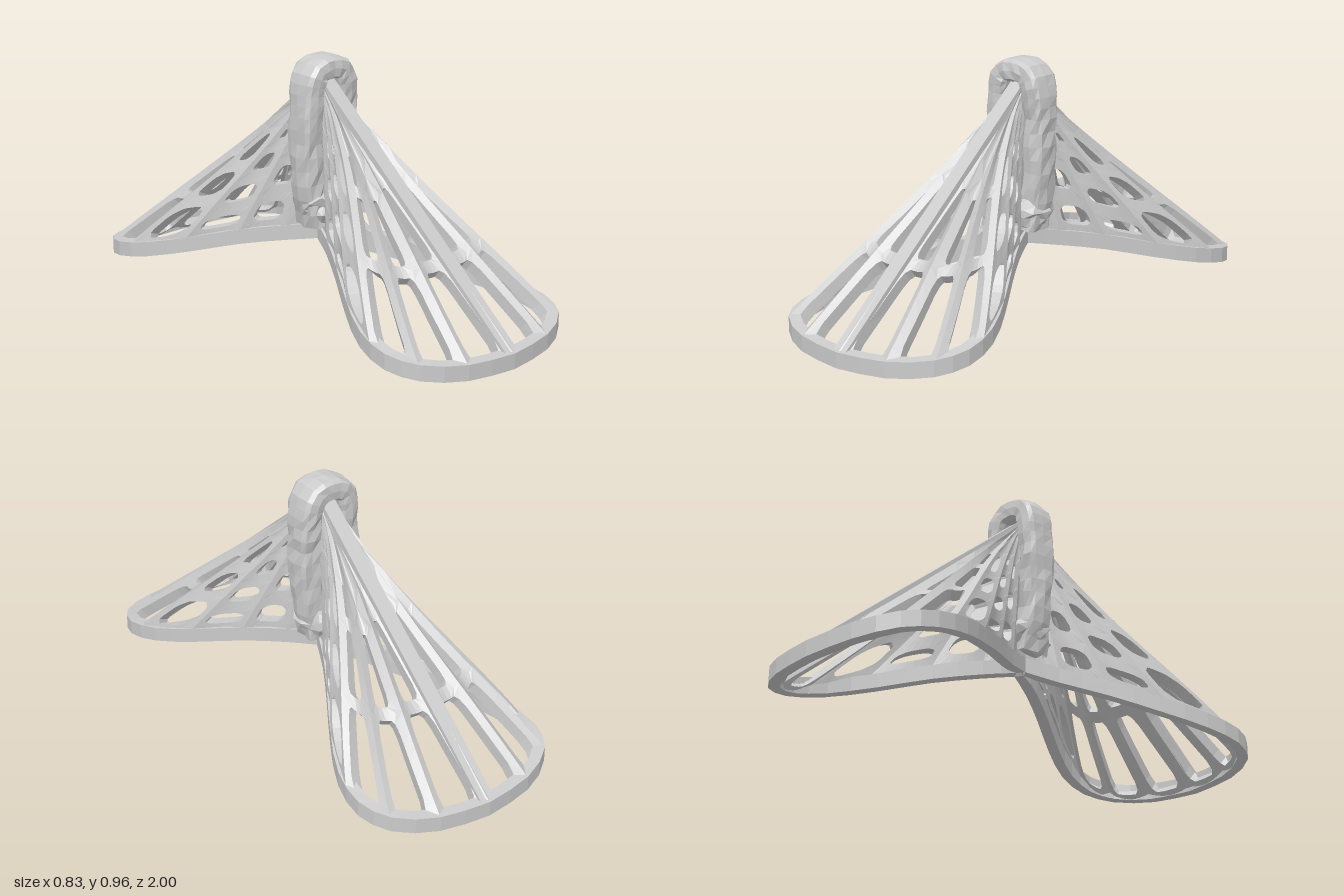
import * as THREE from 'three';

const V = (x, y, z) => new THREE.Vector3(x, y, z);
const material = new THREE.MeshStandardMaterial({ color: 0xcccccc, flatShading: true, side: THREE.DoubleSide });

let seed = 7;
const rand = () => ((seed = (seed * 16807) % 2147483647) / 2147483647) - 0.5;

// Collects quads, mirrored into the quarter given by sx and sz
class Builder {
  constructor(sx = 1, sz = 1) { this.sx = sx; this.sz = sz; this.pos = []; }
  quad(a, b, c, d) {
    const tris = this.sx * this.sz > 0 ? [a, b, c, a, c, d] : [a, c, b, a, d, c];
    for (const p of tris) this.pos.push(p.x * this.sx, p.y, p.z * this.sz);
  }
  // Skin between rings that run counter-clockwise about the path
  loft(rings) {
    for (let j = 0; j < rings.length - 1; j++) {
      const a = rings[j], b = rings[j + 1], n = a.length;
      for (let k = 0; k < n; k++) this.quad(a[k], a[(k + 1) % n], b[(k + 1) % n], b[k]);
    }
  }
  mesh(name) {
    const g = new THREE.BufferGeometry();
    g.setAttribute('position', new THREE.Float32BufferAttribute(this.pos, 3));
    g.computeVertexNormals();
    const m = new THREE.Mesh(g, material);
    m.name = name;
    return m;
  }
}

// Edge of one quarter, from the pinched middle out to the tip
const rim = new THREE.CatmullRomCurve3([
  V(0.03, 0.26, 0), V(0.09, 0.235, 0.12), V(0.19, 0.2, 0.28), V(0.3, 0.15, 0.45), V(0.39, 0.105, 0.62),
  V(0.415, 0.075, 0.77), V(0.36, 0.055, 0.89), V(0.205, 0.037, 0.972), V(0, 0.03, 1)]);

// Wing surface: t runs along the rim, v from the apex down to the rim
function surface(t, v) {
  const r = rim.getPoint(THREE.MathUtils.clamp(t, 0, 1));
  const ax = Math.min(0.025, r.x);
  const pinch = 1 - 0.72 * (1 - v) ** 2;
  return V(ax + (r.x - ax) * v * pinch, 0.87 + (r.y + 0.022 - 0.87) * v, r.z * v);
}
// Point sunk below the surface; depth 1 is the full wall thickness
function sunk(t, v, depth) {
  const e = 0.01, w = Math.max(v, 0.05);
  const dt = surface(t + e, w).sub(surface(t - e, w));
  const dv = surface(t, w + e).sub(surface(t, w - e));
  const p = surface(t, v).addScaledVector(dt.cross(dv).normalize(), -0.05 * depth * Math.min(1, 0.4 + v));
  p.x = Math.max(p.x, 0);
  return p;
}

// One lattice cell: a frame around a chamfered window, or a closed panel, dished between its ribs
function addCell(b, t0, t1, v0, v1, open) {
  const border = [], hole = [], N = 6;
  const corners = [[-1, -1], [1, -1], [1, 1], [-1, 1]];
  const place = (s, w) => [t0 + (t1 - t0) * (s + 1) / 2, v0 + (v1 - v0) * (w + 1) / 2, 1 - s * s];
  const tm = (t0 + t1) / 2, tip = tm > 0.6;
  const length = surface(tm, v0).distanceTo(surface(tm, v1));
  const mw = Math.min(0.32, (tip ? 0.026 : 0.038) / length);
  const chamfer = tip ? 1.8 : 1.55, dish = tip ? 0.55 : 0.2;
  for (let c = 0; c < 4; c++) for (let i = 0; i < N; i++) {
    const p = corners[c], q = corners[(c + 1) % 4], f = i / N;
    let s = p[0] + (q[0] - p[0]) * f, w = p[1] + (q[1] - p[1]) * f;
    border.push(place(s, w));
    const k = Math.min(1, chamfer / (Math.abs(s) + Math.abs(w)));
    w *= k * (1 - 2 * mw);
    const v = place(0, w)[1];
    const ms = Math.min(0.38, 0.028 / surface(t0, v).distanceTo(surface(t1, v)));
    s *= k * (1 - 2 * ms);
    hole.push(open ? place(s, w) : place(0, 0));
  }
  const n = border.length;
  const outside = ([t, v, d]) => sunk(t, v, dish * d);
  const inside = ([t, v, d]) => sunk(t, v, 1 + 0.6 * dish * d);
  const bo = border.map(outside), ho = hole.map(outside);
  const bi = border.map(inside), hi = hole.map(inside);
  for (let i = 0; i < n; i++) {
    const j = (i + 1) % n;
    b.quad(bo[i], bo[j], ho[j], ho[i]);
    b.quad(bi[j], bi[i], hi[i], hi[j]);
    if (open) b.quad(ho[i], ho[j], hi[j], hi[i]);
  }
}

// Columns between ribs: rim span and the heights of the cross ties
const columns = [
  [0, 0.125, [0, 0.3, 0.65, 1]],
  [0.125, 0.25, [0, 0.3, 0.52, 0.76, 1]],
  [0.25, 0.39, [0, 0.28, 0.43, 0.63, 0.83, 1]],
  [0.39, 0.56, [0, 0.3, 0.53, 0.74, 1]],
  [0.56, 0.745, [0, 0.28, 0.43, 0.68, 1]],
  [0.745, 0.875, [0, 0.3, 0.42, 0.68, 1]],
  [0.875, 1, [0, 0.25, 0.38, 0.67, 1]],
];

function latticeQuarter(sx, sz) {
  const b = new Builder(sx, sz);
  for (const [t0, t1, ties] of columns) {
    for (let i = 0; i < ties.length - 1; i++) {
      const vm = (ties[i] + ties[i + 1]) / 2;
      const wide = surface(t0, vm).distanceTo(surface(t1, vm)) > 0.065;
      addCell(b, t0, t1, ties[i], ties[i + 1], i > 0 && wide && t0 > 0);
    }
  }
  return b.mesh('wingLattice');
}

function rimQuarter(sx, sz) {
  const b = new Builder(sx, sz), rings = [], steps = 16;
  for (let i = 0; i <= steps; i++) {
    const p = rim.getPoint(i / steps), t = rim.getTangent(i / steps);
    if (i === steps) t.set(-1, 0, 0);
    const inward = V(-t.z, 0, t.x).normalize().multiplyScalar(0.043);
    const q = p.clone().add(inward);
    q.x = Math.max(q.x, 0);
    const up = (o, d) => V(o.x, o.y + d, o.z);
    rings.push([up(p, -0.03), up(p, 0.03), up(q, 0.035), up(q, -0.03)]);
  }
  b.loft(rings);
  return b.mesh('wingRim');
}

// Straight ridge bar from the apex to the tip of a wing
function ridge(sz) {
  const b = new Builder(1, sz);
  const ring = (y, z) => [V(-0.03, y - 0.045, z - 0.03), V(0.03, y - 0.045, z - 0.03), V(0.03, y, z), V(-0.03, y, z)];
  b.loft([ring(0.86, 0.03), ring(0.06, 0.985)]);
  return b.mesh('ridgeBar');
}

// Rough faceted arch that straddles the pinched middle
function arch() {
  const half = [V(0.05, 0.3, 0), V(0.075, 0.42, 0), V(0.088, 0.54, 0), V(0.09, 0.65, 0), V(0.087, 0.76, 0),
    V(0.083, 0.84, 0), V(0.058, 0.895, 0)];
  const path = new THREE.CatmullRomCurve3(
    [...half, V(0, 0.911, 0), ...half.slice().reverse().map(p => V(-p.x, p.y, 0))]);
  const b = new Builder(), rings = [], sides = 12, steps = 30;
  const square = c => Math.sign(c) * Math.abs(c) ** 0.55;
  for (let i = 0; i <= steps; i++) {
    const p = path.getPoint(i / steps), t = path.getTangent(i / steps), ring = [];
    const top = THREE.MathUtils.smoothstep(p.y, 0.72, 0.85);
    for (let k = 0; k < sides; k++) {
      const a = (k / sides) * Math.PI * 2;
      const rough = 1 + rand() * (0.3 - 0.2 * top);
      const n = square(Math.cos(a)) * 0.045 * rough;
      ring.push(V(p.x + t.y * n, p.y - t.x * n, -square(Math.sin(a)) * (0.06 + 0.012 * top) * rough));
    }
    rings.push(ring);
  }
  b.loft(rings);
  return b.mesh('arch');
}

// Crumpled knot where the arch legs meet the rims
function knot() {
  const g = new THREE.IcosahedronGeometry(1, 2), p = g.attributes.position, seen = new Map();
  for (let i = 0; i < p.count; i++) {
    const v = V(0, 0, 0).fromBufferAttribute(p, i);
    const key = v.toArray().map(c => Math.round(c * 1000) + 0).join();
    if (!seen.has(key)) seen.set(key, 1 + rand() * 0.35);
    v.multiplyScalar(seen.get(key));
    p.setXYZ(i, v.x * 0.115, 0.37 + v.y * 0.075, v.z * 0.11);
  }
  g.computeVertexNormals();
  const m = new THREE.Mesh(g, material);
  m.name = 'knot';
  return m;
}

export function createModel() {
  const model = new THREE.Group();
  model.name = 'latticeCanopy';
  for (const sz of [1, -1]) {
    const wing = new THREE.Group();
    wing.name = sz > 0 ? 'frontWing' : 'backWing';
    for (const sx of [1, -1]) wing.add(latticeQuarter(sx, sz), rimQuarter(sx, sz));
    wing.add(ridge(sz));
    model.add(wing);
  }
  model.add(arch(), knot());
  return model;
}
